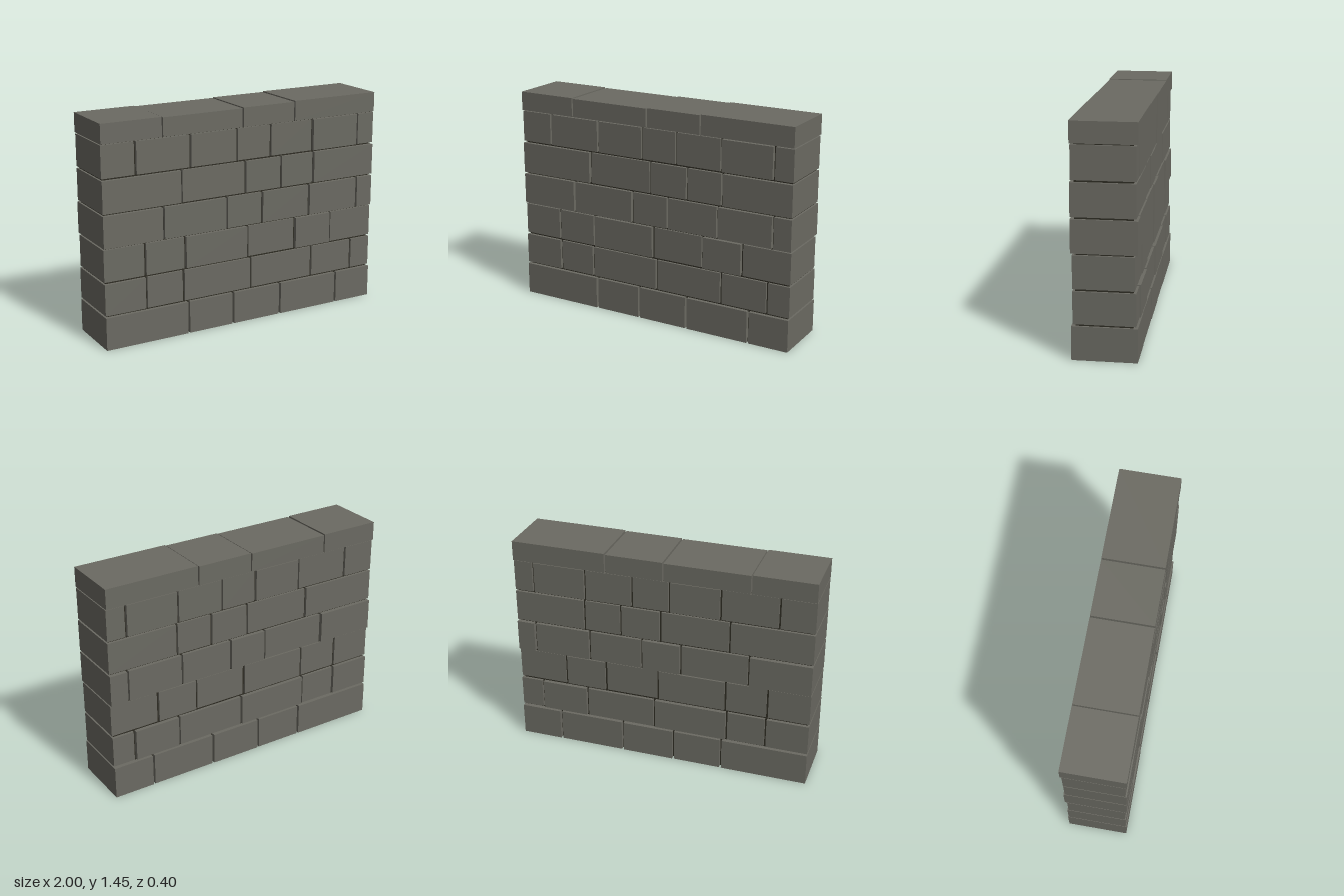
import * as THREE from 'three';

const stone = new THREE.MeshStandardMaterial({ color: 0x6b6a62, side: THREE.DoubleSide });
stone.name = 'grey stone';
const mortar = new THREE.MeshStandardMaterial({ color: 0x2e2c23, side: THREE.DoubleSide });
mortar.name = 'dark mortar';

// Each course: bottom, top, joint positions, and front / back face depth of every block
const COURSES = [
  { y0: 0, y1: 0.215, joints: [-0.42, -0.09, 0.27, 0.72],
    front: [0.2, 0.198, 0.198, 0.2, 0.2], back: [0.2, 0.198, 0.2, 0.198, 0.2] },
  { y0: 0.228, y1: 0.433, joints: [-0.715, -0.453, 0.045, 0.52, 0.845],
    front: [0.195, 0.19, 0.192, 0.19, 0.19, 0.19], back: [0.195, 0.19, 0.198, 0.192, 0.198, 0.19] },
  { y0: 0.447, y1: 0.655, joints: [-0.72, -0.44, 0.02, 0.383, 0.667],
    front: [0.19, 0.192, 0.198, 0.188, 0.2, 0.19], back: [0.186, 0.183, 0.186, 0.18, 0.186, 0.181] },
  { y0: 0.665, y1: 0.872, joints: [-0.59, -0.137, 0.128, 0.49, 0.875],
    front: [0.2, 0.198, 0.192, 0.195, 0.2, 0.2], back: [0.2, 0.19, 0.198, 0.192, 0.195, 0.2] },
  { y0: 0.885, y1: 1.092, joints: [-0.46, 0, 0.27, 0.52],
    front: [0.2, 0.192, 0.194, 0.194, 0.2], back: [0.19, 0.186, 0.19, 0.186, 0.19] },
  { y0: 1.105, y1: 1.312, joints: [-0.773, -0.397, -0.06, 0.19, 0.51, 0.87],
    front: [0.192, 0.195, 0.195, 0.19, 0.19, 0.2, 0.195], back: [0.19, 0.188, 0.193, 0.188, 0.19, 0.193, 0.19] },
];
const GAP = 0.014;

// Box given by its limits; openBottom drops the underside
function block(name, x0, x1, y0, y1, z0, z1, material, openBottom = false) {
  const g = new THREE.BoxGeometry(x1 - x0, y1 - y0, z1 - z0);
  if (openBottom) {
    const index = Array.from(g.index.array);
    index.splice(18, 6); // fourth side of a box is its underside
    g.setIndex(index);
    g.clearGroups();
  }
  g.translate((x0 + x1) / 2, (y0 + y1) / 2, (z0 + z1) / 2);
  const m = new THREE.Mesh(g, material);
  m.name = name;
  return m;
}

// Left and right limits of the blocks in a course
function spans(joints, gap) {
  const edges = [-1, ...joints, 1];
  return edges.slice(0, -1).map((e, i) => [
    i === 0 ? e : e + gap / 2,
    i === joints.length ? edges[i + 1] : edges[i + 1] - gap / 2,
  ]);
}

export function createModel() {
  const wall = new THREE.Group();
  wall.name = 'stoneWall';

  // Hollow mortar core showing in the joints, open underneath
  wall.add(block('mortarCore', -0.987, 0.987, 0, 1.32, -0.172, 0.175, mortar, true));

  // Staggered courses of blocks
  COURSES.forEach((c, row) => {
    const course = new THREE.Group();
    course.name = `course${row + 1}`;
    spans(c.joints, GAP).forEach(([x0, x1], i) => {
      course.add(block('stoneBlock', x0, x1, c.y0, c.y1, -c.back[i], c.front[i], stone, row === 0));
    });
    wall.add(course);
  });

  // Capping stones of slightly different height
  const caps = new THREE.Group();
  caps.name = 'cappingStones';
  const tops = [1.445, 1.441, 1.445, 1.45];
  spans([-0.59, -0.022, 0.365], 0.009).forEach(([x0, x1], i) => {
    caps.add(block('capStone', x0, x1, 1.319, tops[i], -0.2, 0.2, stone));
  });
  wall.add(caps);

  return wall;
}
